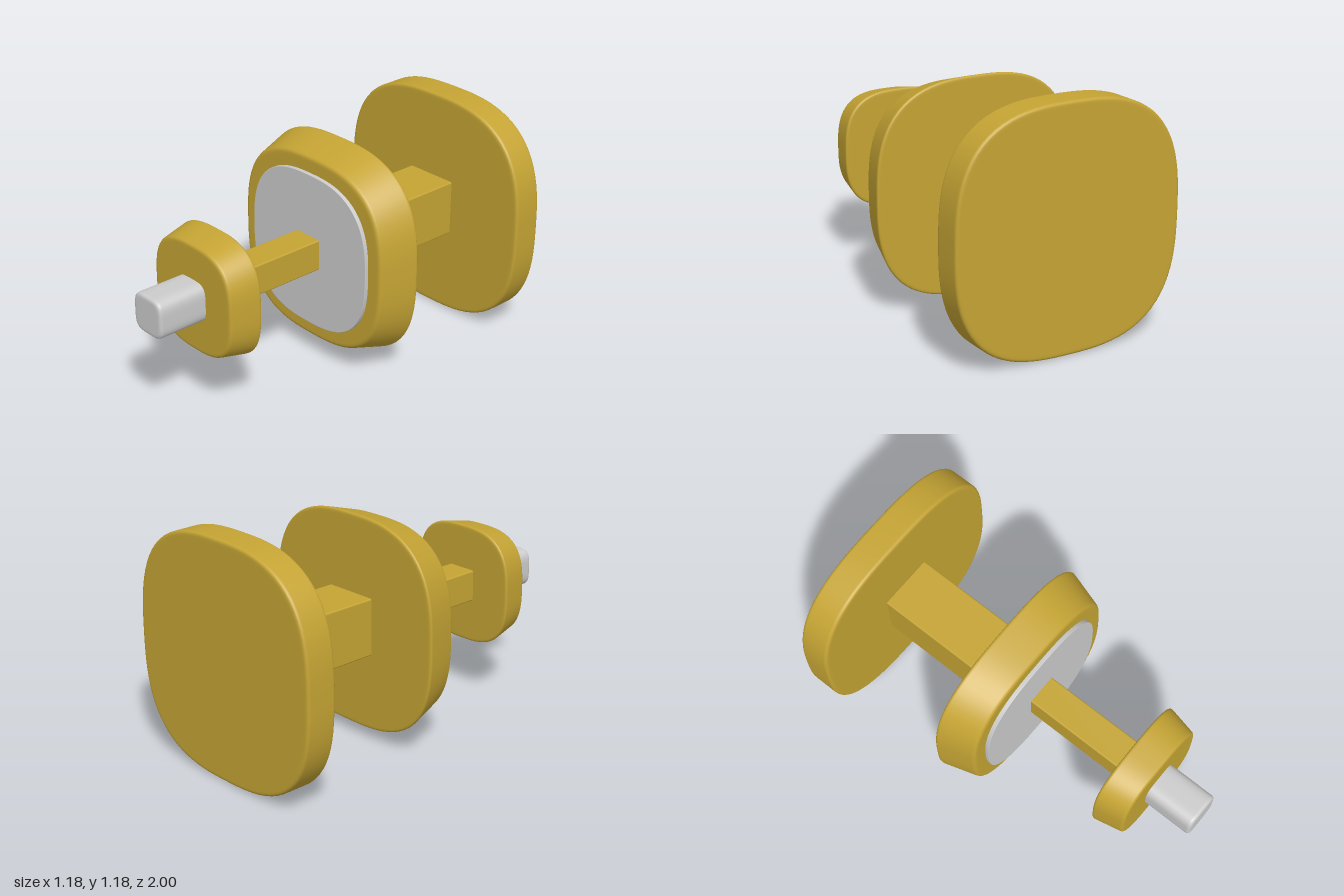
import * as THREE from 'three';
import { mergeVertices } from 'three/addons/utils/BufferGeometryUtils.js';
import { RoundedBoxGeometry } from 'three/addons/geometries/RoundedBoxGeometry.js';

const CENTER_Y = 0.595;
const gold = new THREE.MeshStandardMaterial({ color: 0xc5a434 });
const grey = new THREE.MeshStandardMaterial({ color: 0xcccccc });

// Softened corner of a profile, as a short curve
function corner(from, at, to, size) {
  const a = at.clone().add(from.clone().sub(at).setLength(size));
  const b = at.clone().add(to.clone().sub(at).setLength(size));
  return new THREE.QuadraticBezierCurve(a, at, b).getPoints(5);
}

// Squircle plate between two depths, with a half-width at each end
function plate(name, material, zBack, rBack, zFront, rFront, bevel, power) {
  const v = (x, y) => new THREE.Vector2(x, y);
  const c0 = v(0, zBack), p0 = v(rBack, zBack), p1 = v(rFront, zFront), c1 = v(0, zFront);
  const profile = [
    c0, v(rBack - bevel * 1.6, zBack),
    ...corner(c0, p0, p1, bevel),
    ...corner(p0, p1, c1, bevel),
    v(rFront - bevel * 1.6, zFront), c1,
  ];
  let geo = new THREE.LatheGeometry(profile, 96);
  const pos = geo.attributes.position;
  // Push the round outline out to a superellipse
  for (let i = 0; i < pos.count; i++) {
    const x = pos.getX(i), z = pos.getZ(i), r = Math.hypot(x, z);
    if (r < 1e-6) continue;
    const k = Math.pow(Math.abs(x / r) ** power + Math.abs(z / r) ** power, -1 / power);
    pos.setX(i, x * k);
    pos.setZ(i, z * k);
  }
  geo.deleteAttribute('uv');
  geo.deleteAttribute('normal');
  geo = mergeVertices(geo, 1e-5);
  geo.computeVertexNormals();
  geo.rotateX(Math.PI / 2);
  const mesh = new THREE.Mesh(geo, material);
  mesh.name = name;
  mesh.position.y = CENTER_Y;
  return mesh;
}

// Square bar running along z
function bar(name, width, zBack, zFront) {
  const mesh = new THREE.Mesh(new RoundedBoxGeometry(width, width, zFront - zBack, 2, 0.008), gold);
  mesh.name = name;
  mesh.position.set(0, CENTER_Y, (zBack + zFront) / 2);
  return mesh;
}

export function createModel() {
  const model = new THREE.Group();
  model.name = 'steppedSpindle';
  model.add(
    plate('rearPlate', gold, -1, 0.592, -0.84, 0.592, 0.018, 2.8),
    bar('thickBar', 0.29, -0.86, -0.18),
    plate('middlePlate', gold, -0.2, 0.543, 0, 0.485, 0.018, 2.8),
    plate('middleInlay', grey, -0.02, 0.406, 0.02, 0.406, 0.003, 2.7),
    bar('thinBar', 0.162, 0, 0.6),
    plate('frontPlate', gold, 0.577, 0.31, 0.74, 0.277, 0.016, 2.9),
    plate('frontNub', grey, 0.72, 0.1, 1, 0.1, 0.02, 4),
  );
  return model;
}
